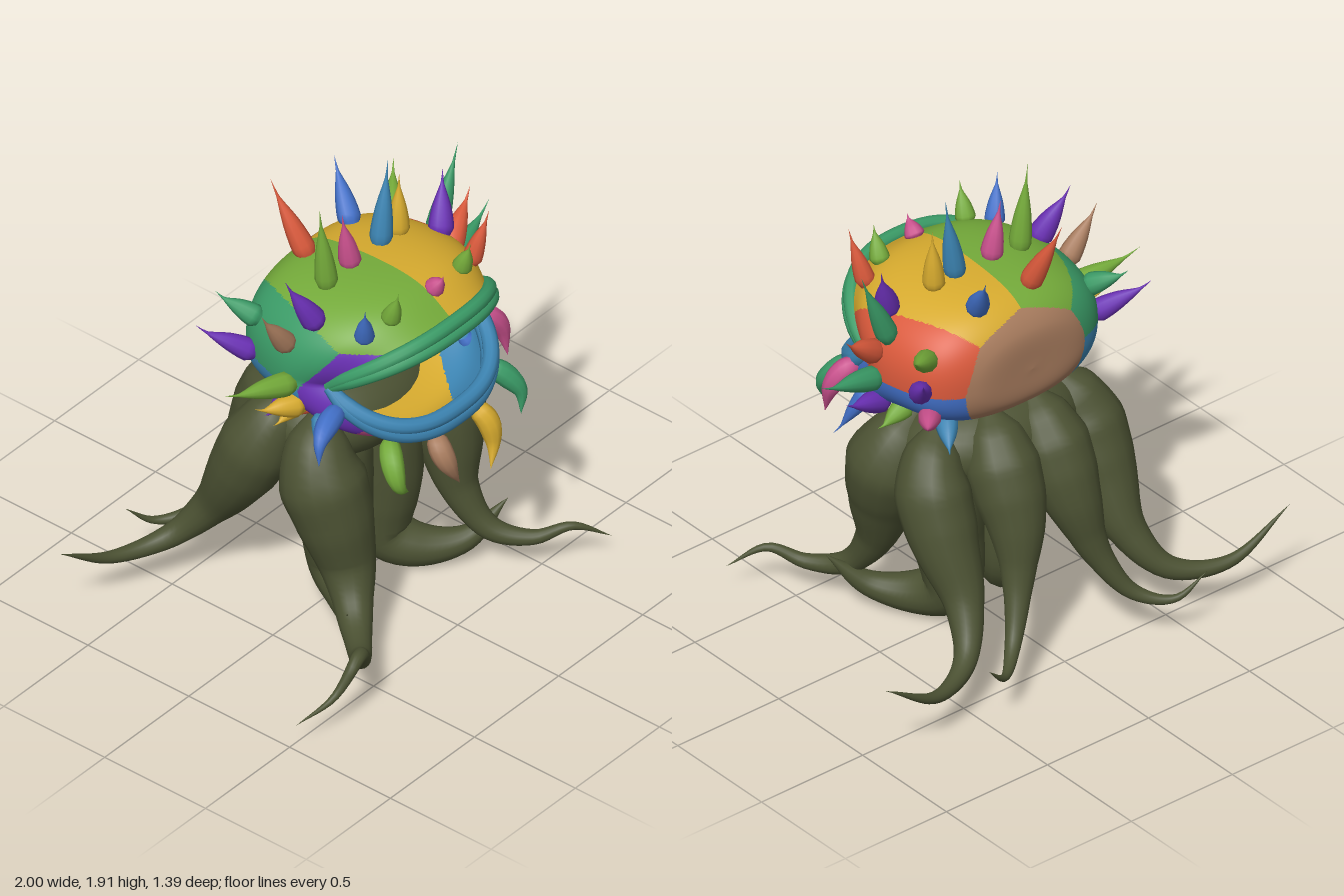
import * as THREE from 'three';

const HEX = {
  olive: 0x4c5233, green: 0x74aa3a, yellow: 0xd6aa2e, red: 0xd9593b, blue: 0x4270c8,
  steel: 0x3c84b2, teal: 0x3a9a66, purple: 0x6a30b4, pink: 0xc8508c, tan: 0xa87c5e,
};
const NAMES = Object.keys(HEX);
const V = (a) => new THREE.Vector3(...a);
const rad = THREE.MathUtils.degToRad;

// Indexed grid of smooth quads, wrapping around each ring
function grid(rings, sides, point) {
  const pos = [], tris = [];
  for (let i = 0; i <= rings; i++) for (let j = 0; j < sides; j++) pos.push(...point(i, j).toArray());
  for (let i = 0; i < rings; i++) for (let j = 0; j < sides; j++) {
    const k = (j + 1) % sides, a = i * sides + j, b = i * sides + k, c = a + sides, d = b + sides;
    tris.push([a, b, c], [b, d, c]);
  }
  const g = new THREE.BufferGeometry();
  g.setAttribute('position', new THREE.Float32BufferAttribute(pos, 3));
  g.setIndex(tris.flat());
  g.computeVertexNormals();
  return { g, pos, tris };
}

// Tapered tube along a smooth path; radii are spread evenly over its length
function sweep(points, radii, rings, sides) {
  const curve = new THREE.CatmullRomCurve3(points);
  const f = curve.computeFrenetFrames(rings);
  return grid(rings, sides, (i, j) => {
    const u = i / rings, s = u * (radii.length - 1), k = Math.min(Math.floor(s), radii.length - 2);
    const r = THREE.MathUtils.lerp(radii[k], radii[k + 1], s - k), a = j / sides * Math.PI * 2;
    return curve.getPointAt(u).addScaledVector(f.normals[i], r * Math.cos(a))
      .addScaledVector(f.binormals[i], r * Math.sin(a));
  }).g;
}

const spow = (v, p) => Math.sign(v) * Math.abs(v) ** p;

// Mouth rim: corners sit far back, upper and lower edges reach forward
function rim(a) {
  const c = Math.cos(a), s = Math.sin(a);
  return new THREE.Vector3(0.4 * spow(c, 0.8), 1.2 + 0.21 * spow(s, 0.88), 0.19 + 0.3 * Math.abs(s));
}

// Profile of the head from the back pole to the rim, at angle a around z
function headProfile(a) {
  const c = spow(Math.cos(a), 0.8), s = spow(Math.sin(a), 0.85), h = s > 0 ? 0.31 : 0.25;
  const at = (k, z) => new THREE.Vector3(0.48 * k * c, 1.22 + h * k * s, z);
  const r = rim(a), front = at(1, 0.02).lerp(r, 0.5);
  front.x *= 1.05;
  front.y += s > 0 ? 0.045 * s : 0.08 * s;
  front.z += 0.06 * Math.abs(s);
  return new THREE.CatmullRomCurve3([at(0, -0.31), at(0.55, -0.295), at(0.86, -0.2), at(1, 0.02), front, r]);
}

// Centres of the coloured skin patches
const PATCHES = [
  ['green', -0.22, 1.52, 0.1], ['yellow', 0.22, 1.52, 0.1], ['red', 0.5, 1.32, 0], ['blue', 0.5, 1.08, 0],
  ['tan', 0.03, 1.15, -0.5], ['teal', -0.5, 1.32, 0], ['steel', -0.48, 1.06, -0.03],
  ['purple', -0.4, 1.11, 0.24], ['pink', -0.23, 0.94, 0.36], ['yellow', 0.06, 0.91, 0.2], ['steel', 0.3, 0.96, 0.4],
];

// Rows of spikes around the head. t: place along the profile, lean: reach in z.
// Each spike: colour, angle of its base, length, angle it aims at
const SPIKE_ROWS = [
  { name: 'backSpike', t: 0.44, lean: -0.14, r: 0.046, spikes: [
    ['red', 100, 0.31, 98], ['blue', 74, 0.22, 71], ['teal', 154, 0.13, 128], ['purple', 180, 0.22, 138],
    ['purple', 0, 0.17, 55], ['green', 25, 0.22, 36], ['pink', -30, 0.14, 25], ['steel', -50, 0.11, -27]] },
  { name: 'crownSpike', t: 0.61, lean: -0.01, r: 0.045, spikes: [
    ['green', 112, 0.37, 95], ['pink', 96, 0.25, 99], ['steel', 82, 0.36, 81], ['yellow', 70, 0.26, 86],
    ['teal', 28, 0.36, 67], ['tan', 158, 0.25, 124], ['purple', 205, 0.13, 190], ['yellow', 222, 0.15, 196],
    ['red', 234, 0.12, 185], ['green', -48, 0.15, -15]] },
  { name: 'cheekSpike', t: 0.67, lean: -0.06, r: 0.05, spikes: [
    ['purple', 43, 0.24, 70], ['red', 13, 0.24, 38], ['teal', -3, 0.33, 20], ['purple', -35, 0.25, 24],
    ['purple', 136, 0.25, 116], ['green', 183, 0.32, 164], ['yellow', 203, 0.19, 165]] },
  { name: 'browSpike', t: 0.84, lean: 0.05, r: 0.04, spikes: [
    ['blue', 130, 0.19, 107], ['green', 112, 0.15, 94], ['pink', 88, 0.08, 90], ['green', 66, 0.14, 93],
    ['red', 50, 0.24, 79]] },
  { name: 'jawSpike', t: 0.78, lean: 0.09, r: 0.038, spikes: [['steel', 205, 0.15, 215], ['blue', -40, 0.22, -63]] },
];
const SPIKE_TAPER = [0.7, 1, 0.95, 0.85, 0.72, 0.54, 0.33, 0.13, 0.06, 0];

// Claws on the lower jaw: colour, path
const CLAWS = [
  ['blue', [[-0.38, 1.12, 0.24], [-0.5, 1.11, 0.27], [-0.58, 1.08, 0.3], [-0.61, 1.0, 0.32]]],
  ['green', [[-0.27, 0.99, 0.38], [-0.34, 0.92, 0.46], [-0.35, 0.84, 0.5], [-0.28, 0.77, 0.49]]],
  ['tan', [[-0.1, 0.95, 0.46], [-0.12, 0.88, 0.52], [-0.1, 0.8, 0.55], [-0.06, 0.72, 0.56]]],
  ['yellow', [[0.12, 0.95, 0.46], [0.15, 0.88, 0.52], [0.15, 0.79, 0.55], [0.1, 0.7, 0.58]]],
  ['teal', [[0.27, 1.02, 0.4], [0.33, 0.96, 0.46], [0.36, 0.89, 0.51], [0.34, 0.8, 0.53]]],
  ['pink', [[0.37, 1.12, 0.24], [0.43, 1.1, 0.28], [0.48, 1.03, 0.31], [0.49, 0.9, 0.34]]],
];

const LEG_R = [0, 0.11, 0.15, 0.14, 0.11, 0.075, 0.052, 0.037, 0.025, 0.013, 0];
const CENTRE_R = [0, 0.12, 0.15, 0.15, 0.145, 0.135, 0.115, 0.09, 0.062, 0.036, 0];
const FRONT_R = [0, 0.12, 0.175, 0.155, 0.12, 0.08, 0.055, 0.04, 0.026, 0.014, 0];
// Tentacles mirrored to both sides
const PAIRS = [
  ['centreTentacle', CENTRE_R, [[0.14, 1.0, 0], [0.15, 0.7, 0.01], [0.15, 0.4, 0.02], [0.14, 0.12, 0.02],
    [0.2, 0.06, 0.12], [0.33, 0.08, 0.26], [0.48, 0.23, 0.35]]],
  ['outerBackTentacle', LEG_R, [[0.26, 1.02, -0.08], [0.37, 0.8, -0.15], [0.39, 0.58, -0.25], [0.4, 0.36, -0.38],
    [0.5, 0.2, -0.51], [0.72, 0.18, -0.61], [1.0, 0.34, -0.64]]],
  ['innerBackTentacle', LEG_R, [[0.1, 1.04, -0.14], [0.12, 0.84, -0.26], [0.14, 0.6, -0.38], [0.2, 0.36, -0.46],
    [0.3, 0.19, -0.55], [0.42, 0.16, -0.65], [0.54, 0.26, -0.7]]],
];
// Front tentacles share a trunk but end differently on each side
const TRUNK = [[0.24, 1.0, 0.04], [0.35, 0.78, 0.1], [0.34, 0.54, 0.17], [0.33, 0.32, 0.23]];
const FRONT = [
  ['leftFrontTentacle', 1, [[0.37, 0.15, 0.35], [0.46, 0.12, 0.49], [0.56, 0.17, 0.6], [0.69, 0.09, 0.69]]],
  ['rightFrontTentacle', -1, [[0.43, 0.17, 0.35], [0.58, 0.16, 0.5], [0.7, 0.27, 0.59], [0.82, 0.14, 0.57],
    [1.0, 0.09, 0.53]]],
];

export function createModel() {
  const root = new THREE.Group();
  const mats = {};
  for (const n of NAMES) {
    mats[n] = new THREE.MeshStandardMaterial({ color: HEX[n], side: THREE.DoubleSide });
    mats[n].name = n;
  }
  const add = (name, geo, mat) => {
    const m = new THREE.Mesh(geo, mat);
    m.name = name;
    root.add(m);
    return m;
  };

  // Hollow head, each face taking the colour of its nearest patch
  const sides = 220, rings = 120;
  const profiles = Array.from({ length: sides }, (_, j) => headProfile(j / sides * Math.PI * 2));
  const { g: head, pos, tris } = grid(rings, sides, (i, j) => profiles[j].getPoint(i / rings));
  const buckets = NAMES.map(() => []);
  for (const t of tris) {
    const c = [0, 1, 2].map((k) => (pos[t[0] * 3 + k] + pos[t[1] * 3 + k] + pos[t[2] * 3 + k]) / 3);
    let best = null, bd = Infinity;
    for (const [n, x, y, z] of PATCHES) {
      const d = (c[0] - x) ** 2 + (c[1] - y) ** 2 + (c[2] - z) ** 2;
      if (d < bd) { bd = d; best = n; }
    }
    buckets[NAMES.indexOf(best)].push(...t);
  }
  head.setIndex(buckets.flat());
  let start = 0;
  buckets.forEach((b, i) => { head.addGroup(start, b.length, i); start += b.length; });
  add('head', head, NAMES.map((n) => mats[n]));

  // Lips, each made of two rolled ridges
  const lip = (name, from, mat, r, dy, dz) => {
    const path = Array.from({ length: 17 }, (_, i) => {
      const a = i / 16 * Math.PI, p = rim(from + a);
      return p.add(new THREE.Vector3(0, dy * Math.sin(a), dz));
    });
    add(name, sweep(path, [r * 0.7, r, r, r, r, r, r, r, r, r, r, r, r * 0.7], 60, 10), mat);
  };
  lip('upperLipOuter', 0, mats.teal, 0.03, 0.015, 0);
  lip('upperLipInner', 0, mats.teal, 0.028, -0.025, 0.015);
  lip('lowerLipOuter', Math.PI, mats.steel, 0.036, -0.015, 0.005);
  lip('lowerLipInner', Math.PI, mats.steel, 0.032, 0.03, 0.01);

  // Spikes with a fat base and a fine hooked tip
  for (const { name, t, lean, r, spikes } of SPIKE_ROWS) for (const [n, angle, length, aim] of spikes) {
    const base = headProfile(rad(angle)).getPoint(t);
    const reach = new THREE.Vector3(length * Math.cos(rad(aim)), length * Math.sin(rad(aim)), lean);
    const path = [[-0.06, 0], [0.4, -0.005], [0.78, -0.01], [1, 0]].map(([k, sag]) => {
      const p = base.clone().addScaledVector(reach, k);
      p.y += sag;
      return p;
    });
    add(name, sweep(path, SPIKE_TAPER.map((k) => k * r), 18, 10), mats[n]);
  }

  // Curved jaw claws
  for (const [n, path] of CLAWS) {
    add('jawClaw', sweep(path.map(V), [0, 0.04, 0.046, 0.045, 0.038, 0.025, 0.012, 0], 18, 10), mats[n]);
  }

  // Hips and tentacles
  const hips = add('hips', new THREE.SphereGeometry(1, 32, 20), mats.olive);
  hips.scale.set(0.4, 0.2, 0.27);
  hips.position.set(0, 0.84, -0.04);
  const tentacle = (name, path, radii, side) =>
    add(name, sweep(path.map(([x, y, z]) => new THREE.Vector3(x * side, y, z)), radii, 52, 16), mats.olive);
  for (const [name, radii, path] of PAIRS) for (const side of [1, -1]) tentacle(name, path, radii, side);
  for (const [name, side, end] of FRONT) tentacle(name, [...TRUNK, ...end], FRONT_R, side);
  return root;
}
